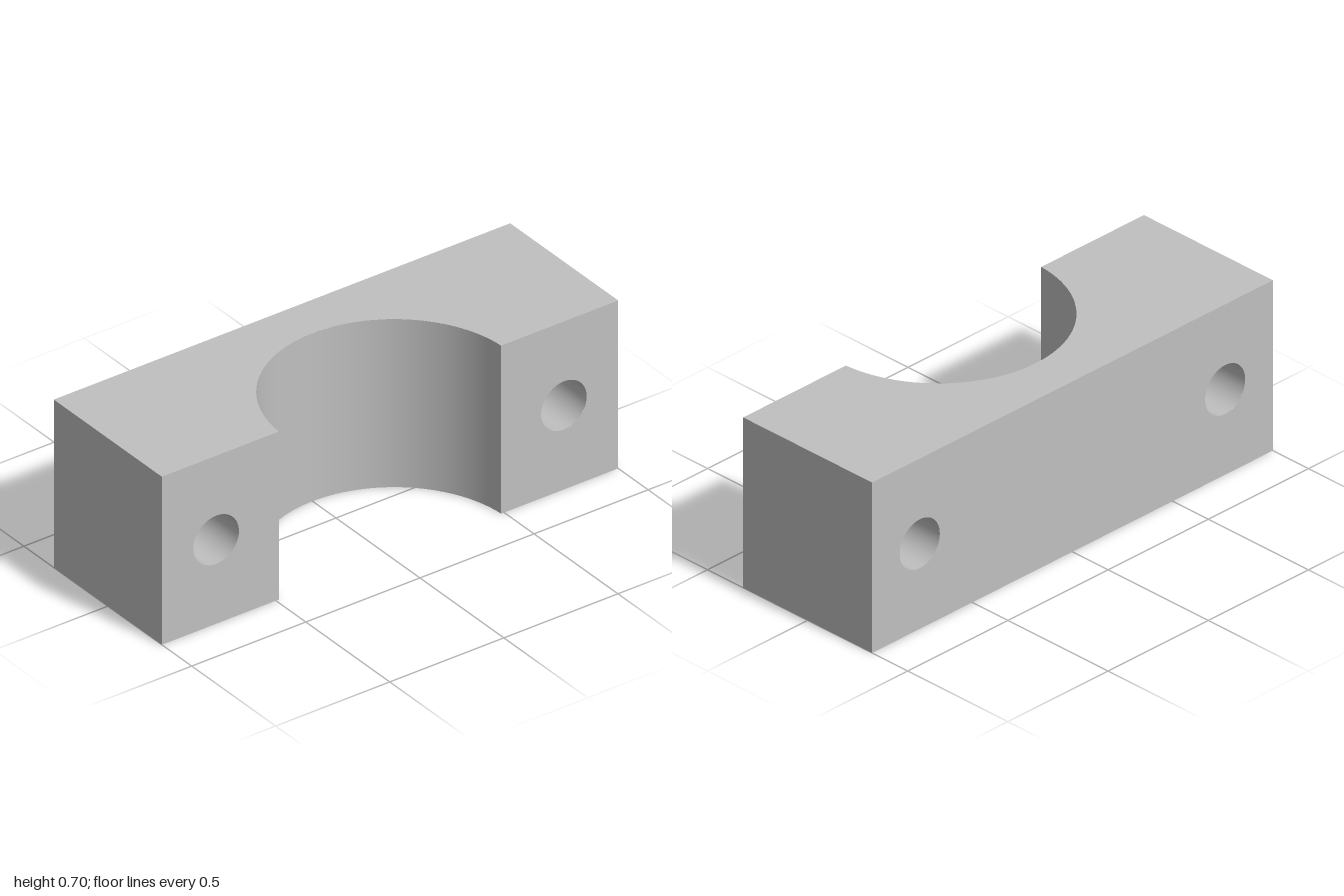
import * as THREE from 'three';
import { mergeGeometries } from 'three/addons/utils/BufferGeometryUtils.js';

const W = 0.322, H = 0.697, L = 1;          // half width, height, half length
const MOUTH = 0.487, DEPTH = 0.462;         // half opening and depth of the saddle
const R = (MOUTH ** 2 + DEPTH ** 2) / (2 * DEPTH);
const CX = W - DEPTH + R;                   // saddle axis, just outside the block
const TILT = Math.asin((CX - W) / R);
const HOLE_R = 0.1, HOLE_Z = 0.762, HOLE_Y = H / 2;
const ARC = 64, RING = 48;

// Turn a surface inside out, for bores
function flip(geo) {
  const index = geo.index.array;
  for (let i = 0; i < index.length; i += 3) {
    [index[i], index[i + 1]] = [index[i + 1], index[i]];
  }
  const normals = geo.attributes.normal.array;
  for (let i = 0; i < normals.length; i++) normals[i] *= -1;
  return geo;
}

// Upright rectangle with bolt holes, facing +z
function wall(u0, u1, holes) {
  const shape = new THREE.Shape();
  shape.moveTo(u0, 0).lineTo(u1, 0).lineTo(u1, H).lineTo(u0, H).closePath();
  for (const u of holes) {
    shape.holes.push(new THREE.Path().absarc(u, HOLE_Y, HOLE_R, 0, Math.PI * 2, true));
  }
  return new THREE.ShapeGeometry(shape, RING);
}

// Plan outline with the round saddle cut from the +x side
function plan() {
  const shape = new THREE.Shape();
  shape.moveTo(-W, -L).lineTo(W, -L).lineTo(W, -MOUTH);
  shape.absarc(CX, 0, R, -(Math.PI / 2 + TILT), Math.PI / 2 + TILT, true);
  shape.lineTo(W, L).lineTo(-W, L).closePath();
  return new THREE.ShapeGeometry(shape, ARC);
}

export function createModel() {
  const group = new THREE.Group();
  group.name = 'clampHalf';
  const grey = new THREE.MeshStandardMaterial({ color: 0xc0c0c0 });
  grey.name = 'grey';
  const add = (name, geo) => {
    const mesh = new THREE.Mesh(geo, grey);
    mesh.name = name;
    group.add(mesh);
  };

  // Flat faces of the block
  add('block', mergeGeometries([
    plan().rotateX(-Math.PI / 2).translate(0, H, 0),
    plan().rotateX(Math.PI / 2),
    wall(-L, L, [-HOLE_Z, HOLE_Z]).rotateY(-Math.PI / 2).translate(-W, 0, 0),
    wall(MOUTH, L, [HOLE_Z]).rotateY(Math.PI / 2).translate(W, 0, 0),
    wall(-L, -MOUTH, [-HOLE_Z]).rotateY(Math.PI / 2).translate(W, 0, 0),
    wall(-W, W, []).translate(0, 0, L),
    wall(-W, W, []).rotateY(Math.PI).translate(0, 0, -L),
  ]));

  // Round saddle
  add('saddle', flip(new THREE.CylinderGeometry(
    R, R, H, ARC, 1, true, Math.PI + TILT, Math.PI - 2 * TILT,
  )).translate(CX, H / 2, 0));

  // Bolt holes through both ends
  for (const side of [1, -1]) {
    add(side > 0 ? 'frontBoltHole' : 'backBoltHole', flip(
      new THREE.CylinderGeometry(HOLE_R, HOLE_R, 2 * W, RING, 1, true),
    ).rotateZ(Math.PI / 2).rotateX(Math.PI / 2).translate(0, HOLE_Y, side * HOLE_Z));
  }
  return group;
}
